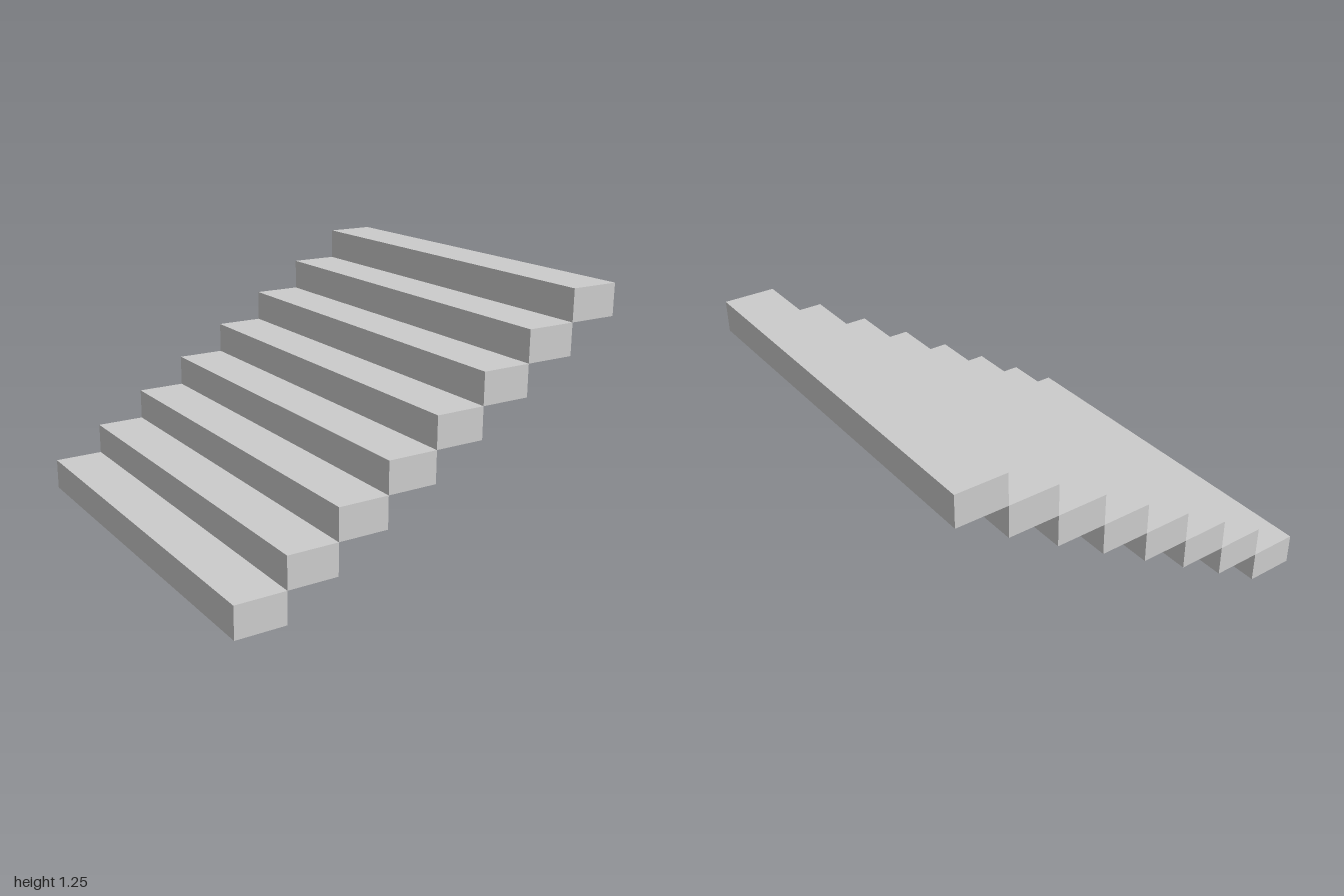
import * as THREE from 'three';

const STEPS = 8;
const RUN = 2 / STEPS;
const RISE = 1.25 / STEPS;
const WIDTH = 2;

export function createModel() {
  const stairs = new THREE.Group();
  stairs.name = 'stairs';

  const material = new THREE.MeshStandardMaterial({ color: 0xcccccc });
  const stepGeometry = new THREE.BoxGeometry(RUN, RISE, WIDTH);

  // Solid block steps, touching edge to edge and climbing towards +x
  for (let i = 0; i < STEPS; i++) {
    const step = new THREE.Mesh(stepGeometry, material);
    step.name = `step${i + 1}`;
    step.position.set(-1 + (i + 0.5) * RUN, (i + 0.5) * RISE, 0);
    stairs.add(step);
  }
  return stairs;
}
